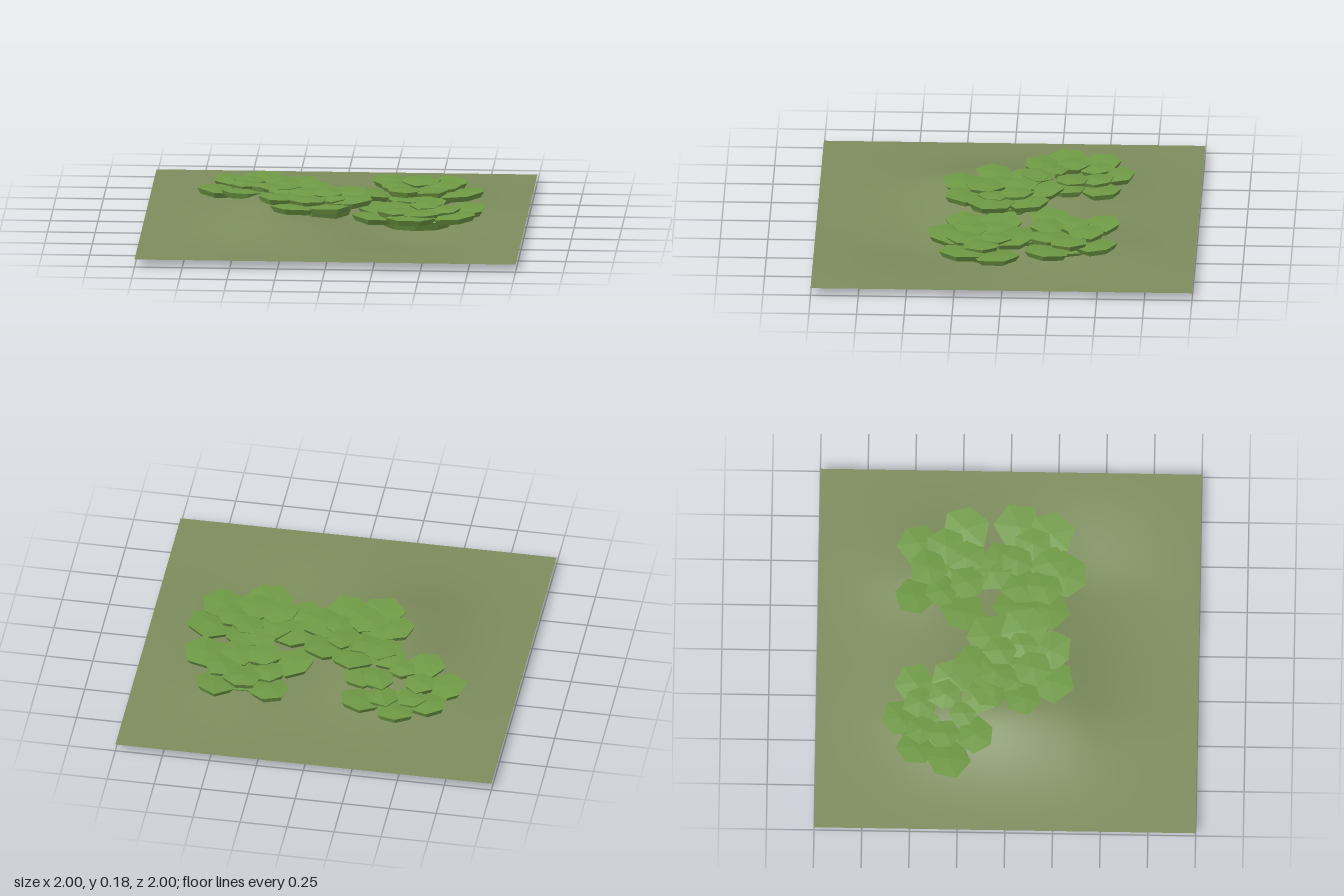
import * as THREE from 'three';

const groundMat = new THREE.MeshStandardMaterial({ color: 0x7c8d5c, side: THREE.DoubleSide });
const leafMat = new THREE.MeshStandardMaterial({ color: 0x6f9a45, flatShading: true });

// Seeded random numbers for the irregular leaves
let seed = 7;
const rand = () => (seed = (seed * 16807) % 2147483647) / 2147483647;
const jitter = (amount) => amount * (2 * rand() - 1);

// Rolling terrain: a rise on the right, a low rise behind and a dip in front
const bump = (x, z, cx, cz, rx, rz) => Math.exp(-(((x - cx) / rx) ** 2) - ((z - cz) / rz) ** 2);
function groundHeight(x, z) {
  const edge = Math.min(1, 1.6 * (1 - Math.abs(x))) * Math.min(1, 1.6 * (1 - Math.abs(z)));
  const h = 0.1 * bump(x, z, -0.36, 0.02, 0.4, 0.6)
    + 0.055 * bump(x, z, 0.52, -0.5, 0.35, 0.38)
    - 0.05 * bump(x, z, 0.47, 0.48, 0.38, 0.4);
  return 0.045 + edge * h;
}

function makeGround() {
  const geo = new THREE.PlaneGeometry(2, 2, 40, 40).rotateX(-Math.PI / 2);
  const p = geo.attributes.position;
  for (let i = 0; i < p.count; i++) p.setY(i, groundHeight(p.getX(i), p.getZ(i)));
  geo.computeVertexNormals();
  const mesh = new THREE.Mesh(geo, groundMat);
  mesh.name = 'ground';
  return mesh;
}

// Thick six-sided leaf, slightly domed, with a narrower underside
function leafGeometry(r) {
  const n = 6;
  const geo = new THREE.CylinderGeometry(r, r * 0.82, 0.03, n);
  const scales = Array.from({ length: n }, () => 0.94 + 0.24 * rand());
  const p = geo.attributes.position;
  for (let i = 0; i < p.count; i++) {
    const x = p.getX(i), z = p.getZ(i), y = p.getY(i);
    if (Math.hypot(x, z) < 1e-4) {
      if (y > 0) p.setY(i, y + 0.008);
      continue;
    }
    const k = (Math.round(Math.atan2(x, z) / (Math.PI * 2 / n)) + n) % n;
    p.setX(i, x * scales[k]);
    p.setZ(i, z * scales[k]);
  }
  geo.computeVertexNormals();
  return geo;
}

// One leaf, higher toward the middle of its clump, its outer tip tipped slightly up
function makeLeaf(c, x, z, r) {
  const dx = x - c.x, dz = z - c.z;
  const d = Math.hypot(dx, dz);
  const leaf = new THREE.Mesh(leafGeometry(r), leafMat);
  leaf.name = 'leaf';
  const y = c.y + 0.038 * Math.max(0, 1 - d / 0.26) + jitter(0.006);
  leaf.position.set(x, Math.max(y, groundHeight(x, z) + 0.014), z);
  const axis = new THREE.Vector3(-dz, 0, dx).normalize();
  leaf.quaternion.setFromAxisAngle(axis, 0.12 * Math.min(1, d / 0.25));
  leaf.rotateY(Math.atan2(dx, dz) + jitter(0.25));
  return leaf;
}

// Dish that carries the leaves, a ring of large leaves and a ring of small ones on top
function makeClump(c) {
  const group = new THREE.Group();
  group.name = c.name;

  const profile = [[0, c.bottom + 0.006], [0.1, c.bottom], [0.17, c.bottom + 0.006],
    [0.2, c.y - 0.012], [0, c.y + 0.01]].map(([r, y]) => new THREE.Vector2(r, y));
  const core = new THREE.Mesh(new THREE.LatheGeometry(profile, 9), leafMat);
  core.name = 'clumpCore';
  core.position.set(c.x, 0, c.z);
  core.scale.set(1, 1, c.rz / c.rx);
  group.add(core);

  const addRing = (count, start, reach, r) => {
    for (let i = 0; i < count; i++) {
      const a = start + (i / count) * Math.PI * 2;
      const x = c.x + c.rx * reach * Math.sin(a) + jitter(0.012);
      const z = c.z + c.rz * reach * Math.cos(a) + jitter(0.012);
      group.add(makeLeaf(c, x, z, r * (1 + jitter(0.1))));
    }
  };
  addRing(c.count, c.start, 1, c.leaf);
  addRing(5, c.start + 0.63, 0.52, c.leaf * 0.8);
  return group;
}

// Ring radii rx and rz, number of outer leaves, angle of the first one and leaf radius
const clumps = [
  { name: 'backRightClump', x: -0.4, z: -0.35, y: 0.1, bottom: 0.022,
    rx: 0.23, rz: 0.22, count: 7, start: Math.PI, leaf: 0.1 },
  { name: 'middleClump', x: -0.11, z: 0.03, y: 0.13, bottom: 0.03,
    rx: 0.2, rz: 0.21, count: 7, start: 0.45, leaf: 0.107 },
  { name: 'frontLeftClump', x: 0.43, z: 0.12, y: 0.088, bottom: 0.026,
    rx: 0.25, rz: 0.17, count: 6, start: 0.96, leaf: 0.117 },
  { name: 'backLeftClump', x: 0.42, z: -0.31, y: 0.105, bottom: 0.035,
    rx: 0.24, rz: 0.22, count: 5, start: 0, leaf: 0.112 },
];

export function createModel() {
  const model = new THREE.Group();
  model.name = 'groundCoverPatch';
  model.add(makeGround(), ...clumps.map(makeClump));
  return model;
}
